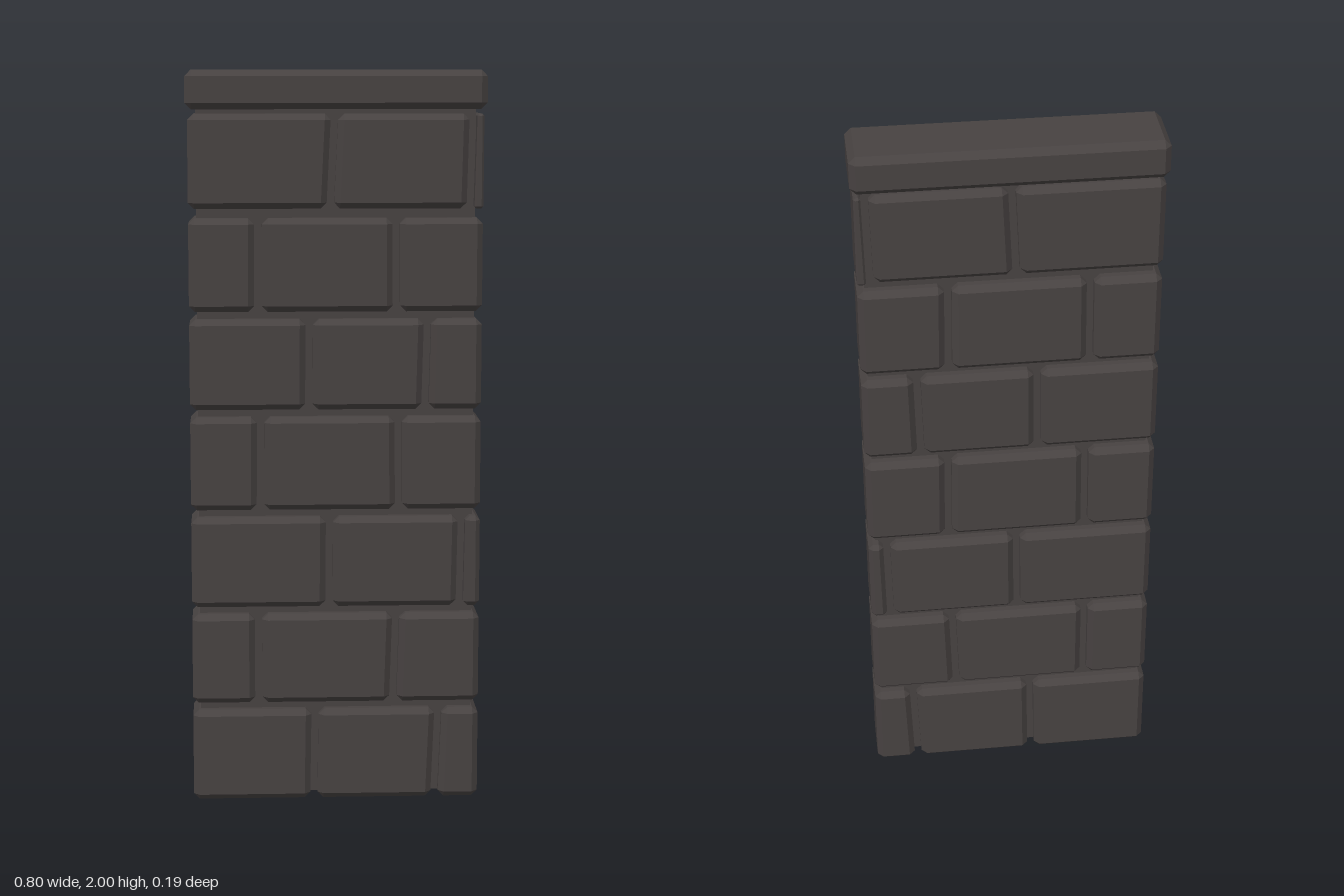
import * as THREE from 'three';
import { ConvexGeometry } from 'three/addons/geometries/ConvexGeometry.js';

// Block with chamfered edges; each end can lean: x = [bottom, top]
function chamferedBlock(left, right, y0, y1, depth, chamfer) {
  const points = [];
  const width = Math.min(right[0] - left[0], right[1] - left[1]);
  const c = Math.min(chamfer, width * 0.3);
  const add = (sx, sy, sz, ix, iy, iz) => {
    const y = sy > 0 ? y1 - iy : y0 + iy;
    const t = (y - y0) / (y1 - y0);
    const edge = sx > 0 ? right : left;
    const x = edge[0] + (edge[1] - edge[0]) * t - sx * ix;
    points.push(new THREE.Vector3(x, y, sz * (depth / 2 - iz)));
  };
  for (const sx of [-1, 1]) for (const sy of [-1, 1]) for (const sz of [-1, 1]) {
    add(sx, sy, sz, 0, c, c);
    add(sx, sy, sz, c, 0, c);
    add(sx, sy, sz, c, c, 0);
  }
  return new ConvexGeometry(points);
}

export function createModel() {
  const group = new THREE.Group();
  const stone = new THREE.MeshStandardMaterial({ color: 0x474241 });
  stone.name = 'darkStone';

  const addMesh = (name, geometry, parent = group) => {
    const mesh = new THREE.Mesh(geometry, stone);
    mesh.name = name;
    parent.add(mesh);
    return mesh;
  };

  // Courses: bottom, top, then the joints as [x at bottom, x at top]
  const courses = [
    { y: [0.005, 0.26], joints: [[-0.062, -0.058], [0.272, 0.282]] },
    { y: [0.28, 0.53], joints: [[-0.213, -0.213], [0.156, 0.164]] },
    { y: [0.55, 0.8], joints: [[-0.02, -0.018], [0.338, 0.342]] },
    { y: [0.82, 1.075], joints: [[-0.206, -0.204], [0.17, 0.168]] },
    { y: [1.095, 1.34], joints: [[-0.074, -0.072], [0.24, 0.246]] },
    { y: [1.36, 1.61], joints: [[-0.21, -0.208], [0.162, 0.16]] },
    { y: [1.635, 1.885], joints: [[-0.016, -0.004], [0.358, 0.364]] },
  ];
  const gap = 0.01;
  courses.forEach(({ y, joints }, row) => {
    const course = new THREE.Group();
    course.name = `course${row + 1}`;
    const ends = [[-0.394 - gap, -0.394 - gap], ...joints, [0.392 + gap, 0.392 + gap]];
    for (let i = 0; i < ends.length - 1; i++) {
      const left = ends[i].map((x) => x + gap);
      const right = ends[i + 1].map((x) => x - gap);
      addMesh(`block${i + 1}`, chamferedBlock(left, right, y[0], y[1], 0.16, 0.016), course);
    }
    group.add(course);
  });

  // Recessed mortar between the blocks
  const mortar = addMesh('mortarCore', new THREE.BoxGeometry(0.745, 1.9, 0.094));
  mortar.position.y = 0.97;

  // Capstone
  addMesh('capstone', chamferedBlock([-0.4, -0.4], [0.4, 0.4], 1.897, 2, 0.19, 0.017));
  return group;
}
